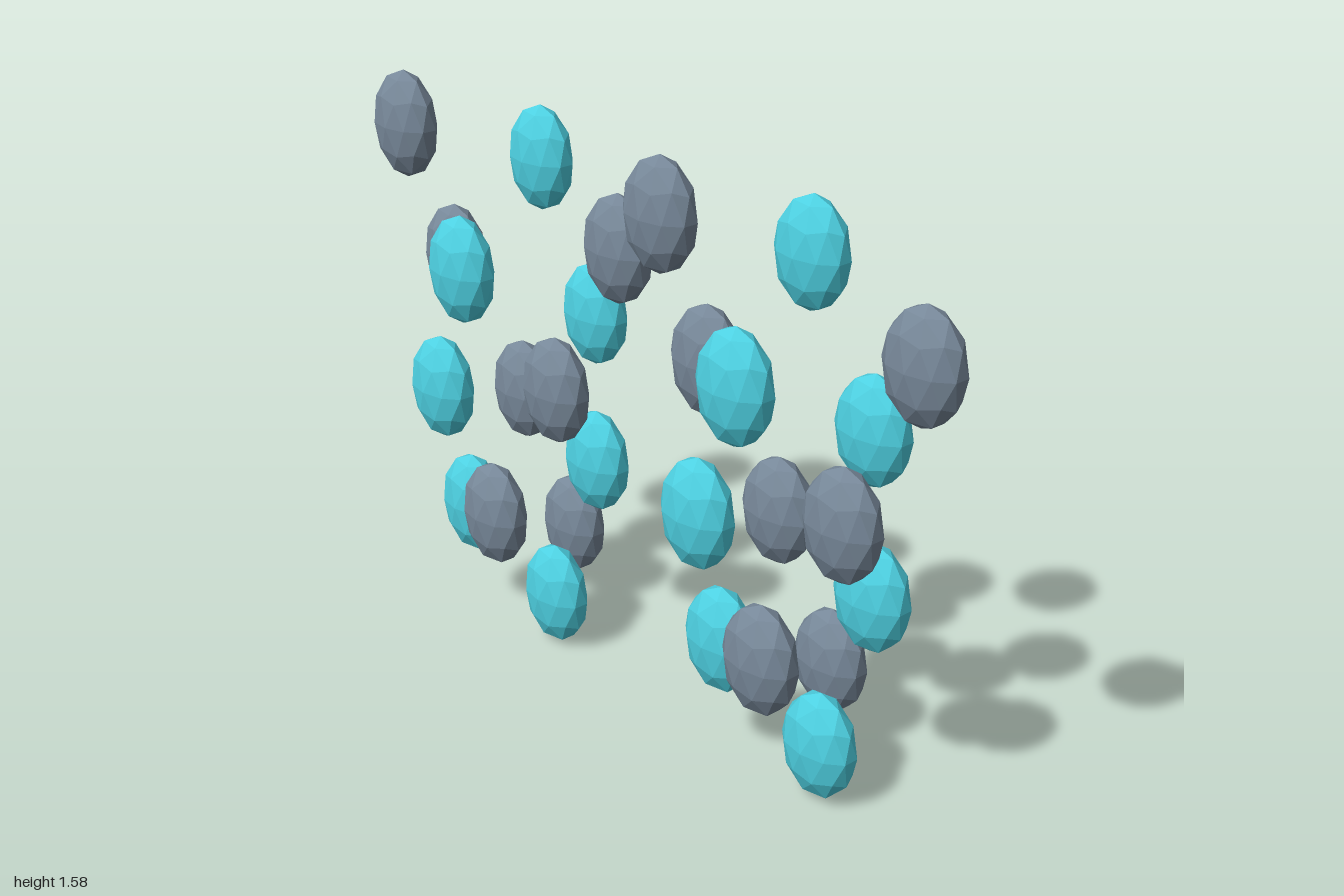
import * as THREE from 'three';

const COUNT = 14;        // pods per cluster
const TURN = 1.73;       // angle between successive pods (radians)
const RISE = 0.0983;     // height between successive pods

export function createModel() {
  const model = new THREE.Group();
  model.name = 'podClusters';

  // Faceted pod: icosphere with a vertex at the pole, squashed to an ellipsoid
  const podGeometry = new THREE.IcosahedronGeometry(1, 1);
  podGeometry.rotateZ(-Math.atan(2 / (1 + Math.sqrt(5))));
  podGeometry.scale(0.115, 0.149, 0.069);
  podGeometry.computeVertexNormals();

  const teal = new THREE.MeshStandardMaterial({ color: 0x4dd0e1, flatShading: true });
  const slate = new THREE.MeshStandardMaterial({ color: 0x778899, flatShading: true });

  // One cluster: pods climb a spiral that widens along x but keeps its depth
  function makeCluster(name, x) {
    const cluster = new THREE.Group();
    cluster.name = name;
    cluster.position.x = x;
    for (let i = 0; i < COUNT; i++) {
      const even = i % 2 === 0;
      const pod = new THREE.Mesh(podGeometry, even ? teal : slate);
      pod.name = even ? 'tealPod' : 'slatePod';
      pod.position.set(
        (0.13 + 0.022 * i) * Math.cos(TURN * i),
        0.149 + RISE * i,
        -0.197 * Math.sin(TURN * i)
      );
      cluster.add(pod);
    }
    return cluster;
  }

  model.add(makeCluster('rightCluster', -0.52), makeCluster('leftCluster', 0.517));
  return model;
}
